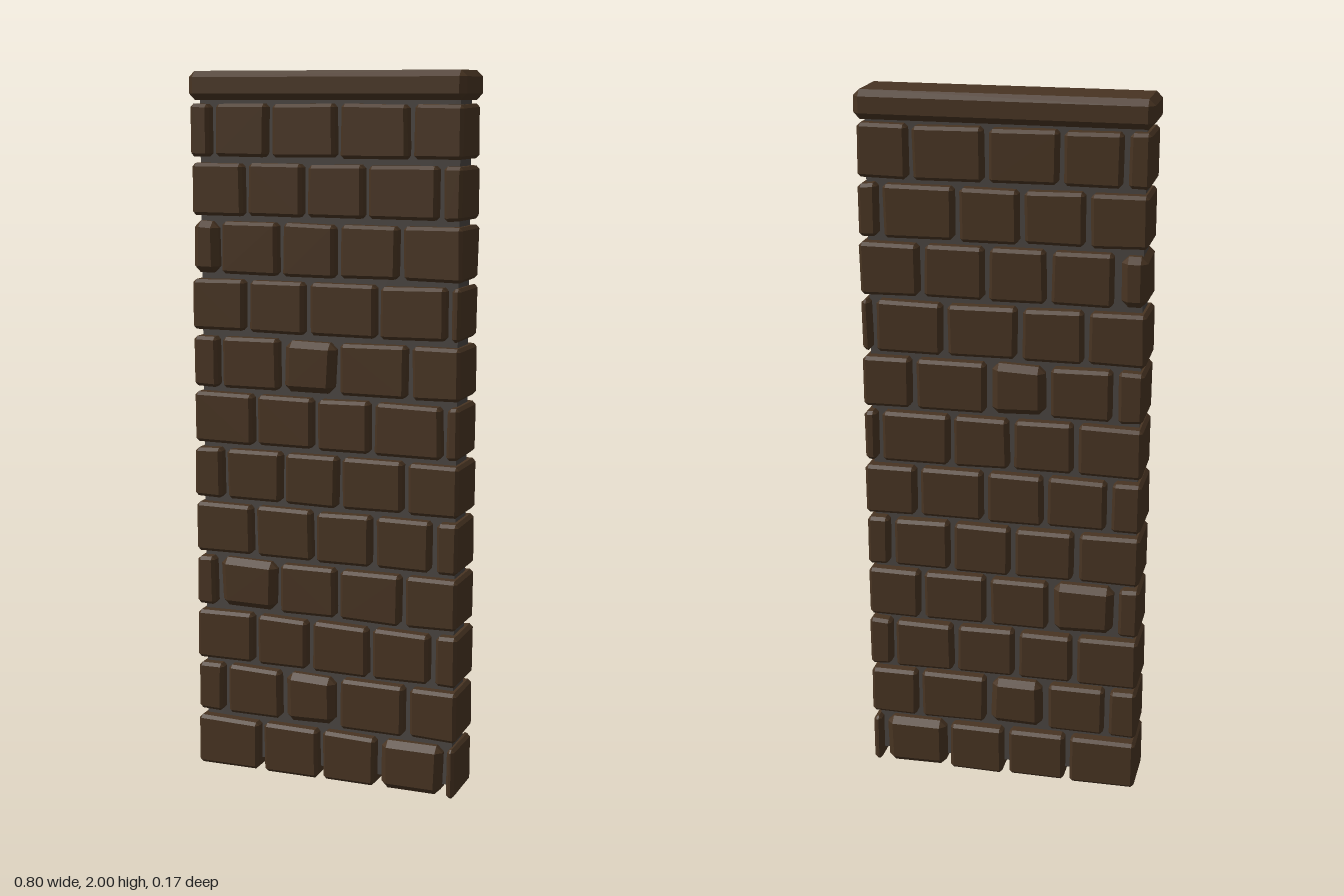
import * as THREE from 'three';
import { ConvexGeometry } from 'three/addons/geometries/ConvexGeometry.js';

// seeded random, -1..1
let seed = 7;
const rand = () => {
  seed = (seed * 16807) % 2147483647;
  return (seed / 2147483647) * 2 - 1;
};

// Box with chamfered edges; each corner shifts a little for a hewn look
function chamferedBlock(x0, x1, y0, y1, z0, z1, bevel, wobble) {
  const b = Math.min(bevel, (x1 - x0) * 0.3);
  const pts = [];
  for (const sx of [-1, 1]) for (const sy of [-1, 1]) for (const sz of [-1, 1]) {
    // wobble only moves corners inwards
    const x = (sx < 0 ? x0 : x1) - sx * Math.abs(rand()) * wobble;
    const y = (sy < 0 ? y0 : y1) - sy * Math.abs(rand()) * wobble;
    const z = sz < 0 ? z0 : z1;
    pts.push(
      new THREE.Vector3(x, y - sy * b, z - sz * b),
      new THREE.Vector3(x - sx * b, y, z - sz * b),
      new THREE.Vector3(x - sx * b, y - sy * b, z)
    );
  }
  return new ConvexGeometry(pts);
}

// Joint centres along x for each course, bottom to top
const COURSES = [
  [-0.195, -0.011, 0.164, 0.36],
  [-0.307, -0.127, 0.042, 0.249],
  [-0.212, -0.042, 0.14, 0.323],
  [-0.328, -0.14, 0.042, 0.236],
  [-0.212, -0.029, 0.148, 0.323],
  [-0.302, -0.122, 0.048, 0.241],
  [-0.206, -0.026, 0.143, 0.349],
  [-0.312, -0.127, 0.04, 0.249],
  [-0.23, -0.048, 0.159, 0.36],
  [-0.31, -0.127, 0.042, 0.222],
  [-0.23, -0.053, 0.122, 0.333],
  [-0.328, -0.159, 0.042, 0.249],
];

// Strongly worn stones, as "course,stone"
const WORN = new Set(['0,3', '1,2', '3,1', '7,2', '9,0']);

export function createModel() {
  seed = 7;
  const stone = new THREE.MeshStandardMaterial({ color: 0x483422 });
  stone.name = 'brown stone';
  const mortar = new THREE.MeshStandardMaterial({ color: 0x4a4541 });
  mortar.name = 'grey mortar';

  const wall = new THREE.Group();
  wall.name = 'wall';
  const add = (geometry, material, name, parent = wall) => {
    const mesh = new THREE.Mesh(geometry, material);
    mesh.name = name;
    parent.add(mesh);
  };

  // Recessed mortar core
  const core = new THREE.BoxGeometry(0.754, 1.92, 0.094);
  core.translate(0, 0.99, 0.001);
  add(core, mortar, 'mortarCore');

  // Courses of full-depth stones
  const END = 0.395, GAP = 0.007, PITCH = 0.1603, HEIGHT = 0.147;
  COURSES.forEach((joints, row) => {
    const course = new THREE.Group();
    course.name = 'course' + (row + 1);
    wall.add(course);
    const y = row * PITCH + (row ? 0.003 : 0);
    const edges = [-END - GAP, ...joints, END + GAP];
    for (let i = 0; i < edges.length - 1; i++) {
      const worn = WORN.has(row + ',' + i);
      const geometry = chamferedBlock(
        edges[i] + GAP, edges[i + 1] - GAP, y, y + HEIGHT,
        -0.081 + rand() * 0.002, 0.081 + rand() * 0.002,
        worn ? 0.018 : 0.009, worn ? 0.006 : 0.004
      );
      add(geometry, stone, 'stone' + (i + 1), course);
    }
  });

  // Coping slab
  add(chamferedBlock(-0.4, 0.4, 1.922, 2, -0.087, 0.085, 0.017, 0), stone, 'copingSlab');

  return wall;
}
